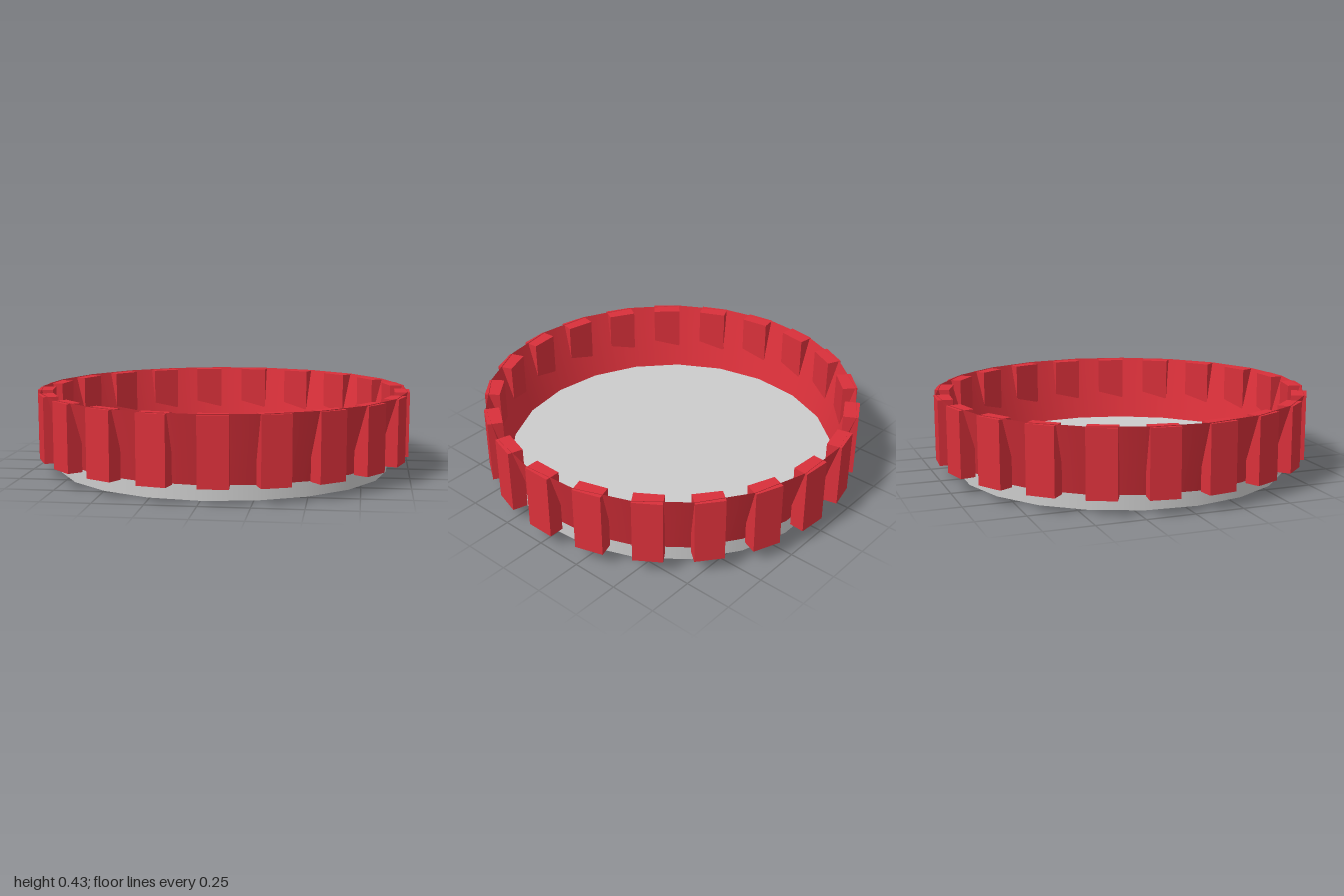
import * as THREE from 'three';

const SIDES = 21;

export function createModel() {
  const model = new THREE.Group();
  const grey = new THREE.MeshStandardMaterial({ color: 0xcccccc });
  const red = new THREE.MeshStandardMaterial({ color: 0xd9303a });
  const redSheet = new THREE.MeshStandardMaterial({ color: 0xd9303a, side: THREE.DoubleSide });

  function add(name, geometry, material, y, parent = model) {
    const mesh = new THREE.Mesh(geometry, material);
    mesh.name = name;
    mesh.position.y = y;
    parent.add(mesh);
    return mesh;
  }

  // Flat base disc
  const baseHeight = 0.075;
  add('base', new THREE.CylinderGeometry(0.885, 0.885, baseHeight, SIDES), grey, baseHeight / 2);

  // Thin flared wall rising from the rim of the base
  const top = 0.43;
  const wallHeight = top - baseHeight;
  add('wall', new THREE.CylinderGeometry(0.99, 0.885, wallHeight, SIDES, 1, true),
    redSheet, baseHeight + wallHeight / 2);

  // Upright grip blocks, sunk through the wall near the top
  const grips = new THREE.Group();
  grips.name = 'grips';
  model.add(grips);
  const outer = 0.997, depth = 0.08, bottom = 0.08, height = 0.346;
  const block = new THREE.BoxGeometry(depth, height, 0.15);
  for (let i = 0; i < SIDES; i++) {
    const a = (i / SIDES) * Math.PI * 2;
    const r = outer - depth / 2;
    const grip = add('grip', block, red, bottom + height / 2, grips);
    grip.position.x = r * Math.cos(a);
    grip.position.z = -r * Math.sin(a);
    grip.rotation.y = a;
  }

  return model;
}
